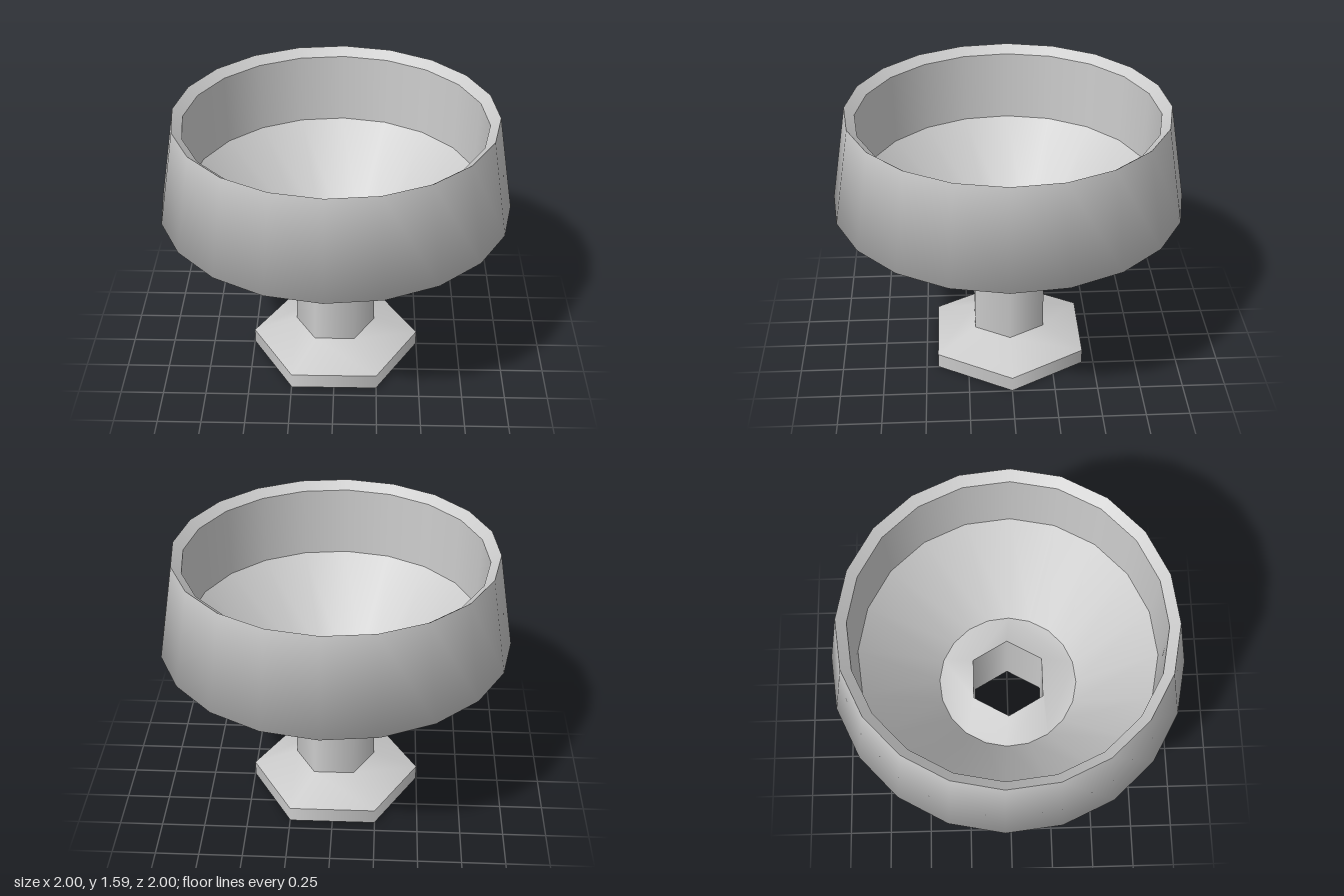
import * as THREE from 'three';

const material = new THREE.MeshStandardMaterial({ color: 0xcccccc, side: THREE.DoubleSide });
const TWIST = 0.04; // slight turn of the 20-sided bowl
const BOWL_SIDES = 20;

export function createModel() {
  const group = new THREE.Group();

  const add = (name, geometry) => {
    const mesh = new THREE.Mesh(geometry, material);
    mesh.name = name;
    group.add(mesh);
  };
  // Turned shell from [radius, height] pairs
  const turn = (name, profile, sides, start = 0) =>
    add(name, new THREE.LatheGeometry(profile.map(([r, y]) => new THREE.Vector2(r, y)), sides, start));
  // Regular polygon, counted from +x
  const ring = (radius, sides, start) =>
    Array.from({ length: sides }, (_, i) => {
      const a = start + (i / sides) * Math.PI * 2;
      return new THREE.Vector2(radius * Math.cos(a), radius * Math.sin(a));
    });

  // Hollow six-sided foot and stem, open at the bottom
  turn('footBand', [[0.497, 0], [0.497, 0.09]], 6, Math.PI / 2);
  turn('footSlope', [[0.497, 0.09], [0.235, 0.19]], 6, Math.PI / 2);
  turn('stem', [[0.235, 0.19], [0.235, 0.715]], 6, Math.PI / 2);

  // Bowl: outer shell smooth over its widest line, bevelled lip, inner wall and floor
  turn('bowlOuter', [[0.405, 0.665], [1, 1.03], [0.905, 1.59]], BOWL_SIDES, -TWIST);
  turn('bowlLip', [[0.905, 1.59], [0.85, 1.545]], BOWL_SIDES, -TWIST);
  turn('bowlInnerWall', [[0.85, 1.545], [0.838, 1.13]], BOWL_SIDES, -TWIST);
  turn('bowlFloor', [[0.838, 1.13], [0.405, 0.665]], BOWL_SIDES, -TWIST);

  // Sheet joining the bowl to the stem, rising towards the six-sided hole
  const shape = new THREE.Shape(ring(0.405, BOWL_SIDES, -TWIST));
  shape.holes.push(new THREE.Path(ring(0.235, 6, 0)));
  const collar = new THREE.ShapeGeometry(shape);
  collar.rotateX(-Math.PI / 2);
  const p = collar.attributes.position;
  for (let i = 0; i < p.count; i++) p.setY(i, Math.hypot(p.getX(i), p.getZ(i)) < 0.3 ? 0.715 : 0.665);
  collar.computeVertexNormals();
  add('bowlCollar', collar);

  return group;
}
